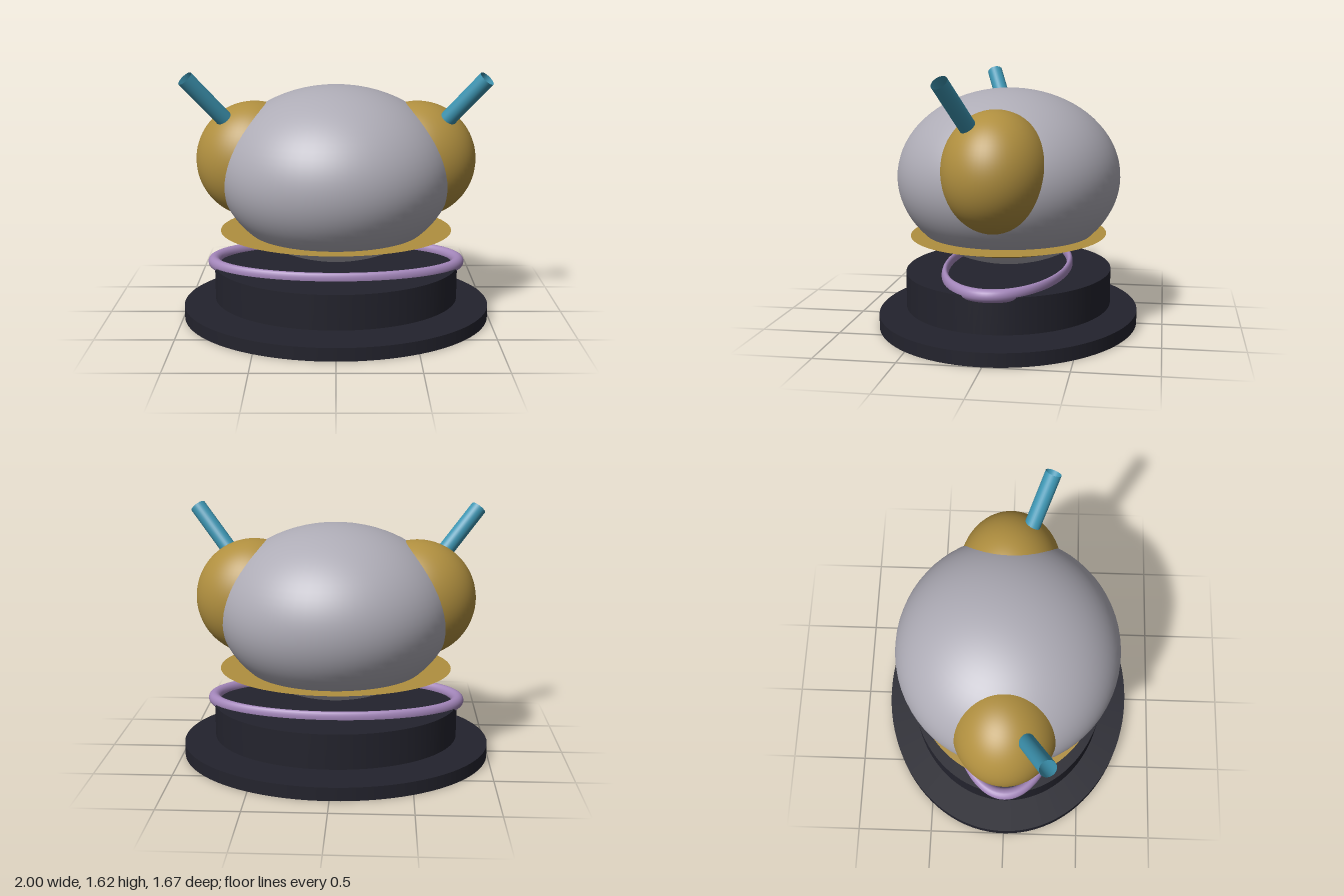
import * as THREE from 'three';

export function createModel() {
  const model = new THREE.Group();
  const mat = (name, color) => {
    const m = new THREE.MeshStandardMaterial({ color });
    m.name = name;
    return m;
  };
  const dark = mat('charcoal', 0x23232d);
  const grey = mat('silver grey', 0xaeacb6);
  const gold = mat('old gold', 0xb08f3f);
  const lilac = mat('lilac', 0xa386ba);
  const teal = mat('teal', 0x3d95b2);
  teal.side = THREE.DoubleSide;

  const add = (name, geometry, material, pos, scale = [1, 1, 1]) => {
    const mesh = new THREE.Mesh(geometry, material);
    mesh.name = name;
    mesh.position.set(...pos);
    mesh.scale.set(...scale);
    model.add(mesh);
    return mesh;
  };

  // Two oval plinth discs with a gap between them
  add('baseDisc', new THREE.CylinderGeometry(1, 1, 0.085, 96), dark, [0, 0.0425, 0], [1, 1, 0.835]);
  add('plinth', new THREE.CylinderGeometry(0.795, 0.795, 0.225, 96), dark, [0, 0.2375, 0], [1, 1, 0.832]);

  // Narrow oval ring lying on the plinth
  const ring = new THREE.TorusGeometry(0.8, 0.04, 20, 96).rotateX(Math.PI / 2);
  add('plinthRing', ring, lilac, [0, 0.36, 0], [1, 1, 0.49]);

  // Rounded body with a shallow dish around its underside
  const ball = new THREE.SphereGeometry(1, 64, 40);
  add('body', ball, grey, [0, 0.953, 0], [0.75, 0.563, 0.715]);
  const dish = new THREE.CylinderGeometry(1, 0.4, 0.112, 96);
  add('skirtDish', dish, gold, [0, 0.524, 0], [0.75, 1, 0.63]);

  // Side pods, each with an open tube pointing up, out and forward
  for (const s of [1, -1]) {
    const side = s > 0 ? 'left' : 'right';
    add(side + 'Pod', ball, gold, [s * 0.52, 1.04, 0], [0.375, 0.375, 0.33]);

    const low = new THREE.Vector3(s * 0.68, 1.3, 0.12);
    const high = new THREE.Vector3(s * 0.917, 1.588, 0.247);
    const dir = high.clone().sub(low);
    const mid = low.clone().add(high).multiplyScalar(0.5);
    const tube = add(side + 'Tube',
      new THREE.CylinderGeometry(0.052, 0.052, dir.length(), 32, 1, true), teal, mid.toArray());
    tube.quaternion.setFromUnitVectors(new THREE.Vector3(0, 1, 0), dir.normalize());
  }
  return model;
}
